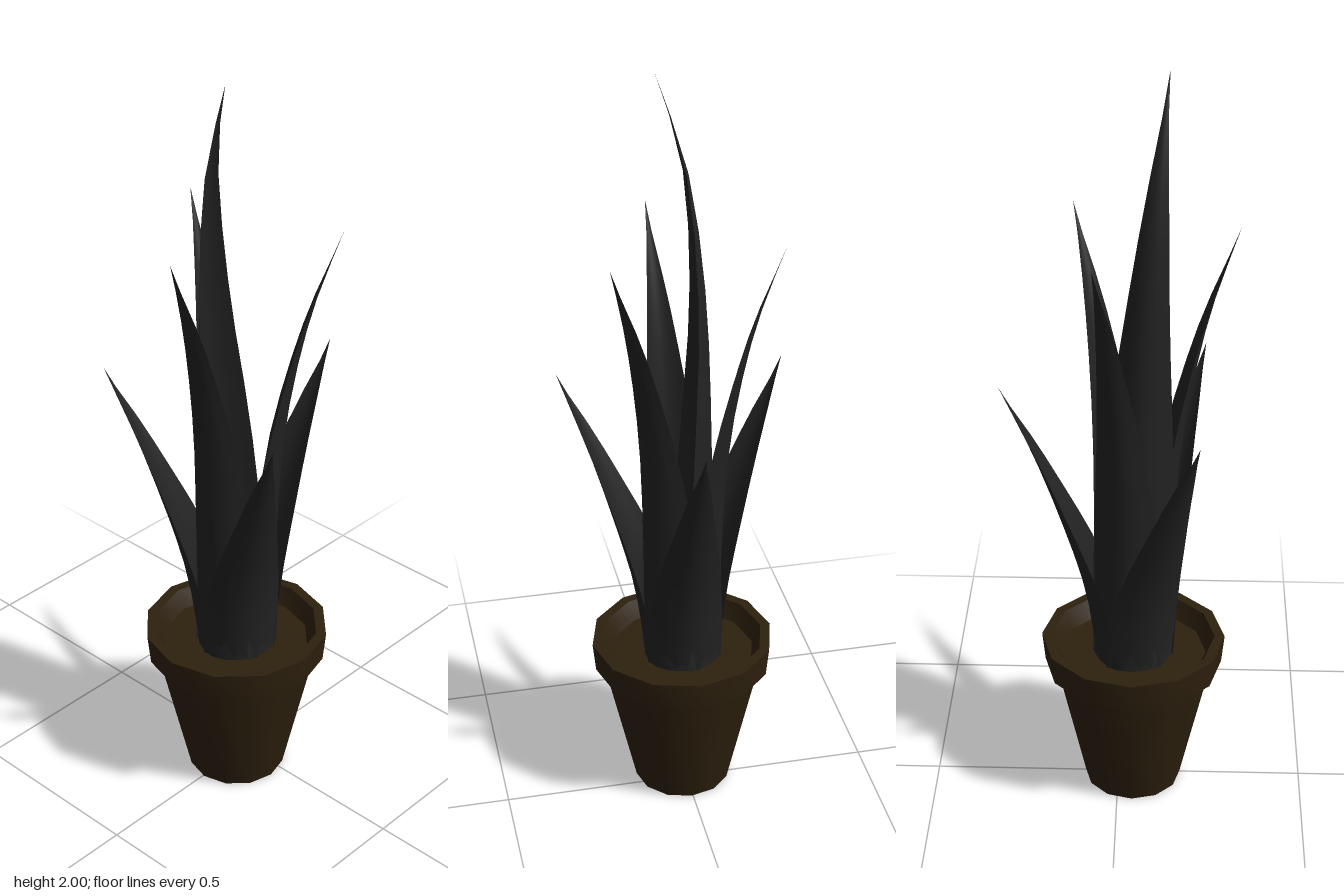
import * as THREE from 'three';
import { toCreasedNormals } from 'three/addons/utils/BufferGeometryUtils.js';

const CENTER = { x: 0.003, z: 0.04 };
const SOIL_Y = 0.4;

// A cupped blade: keel is a list of [distance from centre, height], (dx, dz) its outward direction
function bladeGeometry(dx, dz, keel, halfWidth, depth, sway) {
  const len = Math.hypot(dx, dz);
  dx /= len;
  dz /= len;
  const curve = new THREE.SplineCurve(keel.map(([r, y]) => new THREE.Vector2(r, y)));
  const taper = new THREE.SplineCurve(
    [1, 0.98, 0.82, 0.56, 0.29, 0].map((w, i) => new THREE.Vector2(i / 5, w)));
  const rows = 10, cols = 6, positions = [], index = [];
  const top = keel[keel.length - 1][1];

  for (let i = 0; i <= rows; i++) {
    const p = curve.getPoint(i / rows);
    const t = Math.min(1, Math.max(0, (p.y - SOIL_Y) / (top - SOIL_Y)));
    const w = taper.getPoint(t).y;
    for (let j = 0; j <= cols; j++) {
      const u = (j / cols) * 2 - 1;
      const r = p.x - depth * Math.sqrt(w) * w * u * u;   // edges fold towards the centre
      const s = halfWidth * w * u + sway * t * t;
      positions.push(CENTER.x + dx * r + dz * s, p.y, CENTER.z + dz * r - dx * s);
      if (i < rows && j < cols) {
        const a = i * (cols + 1) + j, b = a + cols + 1;
        index.push(a, a + 1, b, a + 1, b + 1, b);
      }
    }
  }
  const g = new THREE.BufferGeometry();
  g.setAttribute('position', new THREE.Float32BufferAttribute(positions, 3));
  g.setIndex(index);
  g.computeVertexNormals();
  return g;
}

export function createModel() {
  const model = new THREE.Group();
  model.name = 'pottedPlant';

  const potBrown = new THREE.MeshStandardMaterial({ color: 0x2d200e });
  potBrown.name = 'potBrown';
  const leafDark = new THREE.MeshStandardMaterial({ color: 0x222222, side: THREE.DoubleSide });
  leafDark.name = 'leafDark';

  const turned = (name, profile) => {
    const lathe = new THREE.LatheGeometry(profile.map(([r, y]) => new THREE.Vector2(r, y)), 12);
    const mesh = new THREE.Mesh(toCreasedNormals(lathe, 0.6), potBrown);
    mesh.name = name;
    mesh.position.set(CENTER.x, 0, CENTER.z);
    model.add(mesh);
  };

  // Twelve-sided pot with an overhanging rim, and the soil inside
  turned('pot', [[0, 0], [0.13, 0], [0.213, 0.37], [0.237, 0.37], [0.245, 0.45],
    [0.218, 0.45], [0.195, SOIL_Y]]);
  turned('soil', [[0.195, SOIL_Y], [0, SOIL_Y]]);

  const leaves = new THREE.Group();
  leaves.name = 'leaves';
  model.add(leaves);
  const addLeaf = (name, ...shape) => {
    const mesh = new THREE.Mesh(bladeGeometry(...shape), leafDark);
    mesh.name = name;
    leaves.add(mesh);
  };

  // Low outer leaves, bending out the most
  const lowKeel = [[0.1, SOIL_Y], [0.13, 0.6], [0.185, 0.79], [0.262, 1.0], [0.345, 1.18]];
  [[-0.303, 0.165], [0.297, 0.185], [0.013, -0.345]].forEach(([x, z], i) =>
    addLeaf('lowLeaf' + (i + 1), x, z, lowKeel, 0.1, 0.06, 0));

  // Middle leaves, between the low ones
  const midKeel = [[0.105, SOIL_Y], [0.105, 0.7], [0.12, 1.0], [0.155, 1.24], [0.2, 1.43], [0.261, 1.61]];
  [[-0.241, -0.095], [0.205, -0.16], [0.039, 0.26]].forEach(([x, z], i) =>
    addLeaf('middleLeaf' + (i + 1), x, z, midKeel, 0.1, 0.065, 0));

  // Tall centre leaf, leaning over the middle
  const tallKeel = [[0.08, SOIL_Y], [0.083, 0.8], [0.08, 1.15], [0.068, 1.45], [0.03, 1.75], [-0.047, 2]];
  addLeaf('tallLeaf', -1, 0, tallKeel, 0.105, 0.085, 0.08);

  return model;
}
